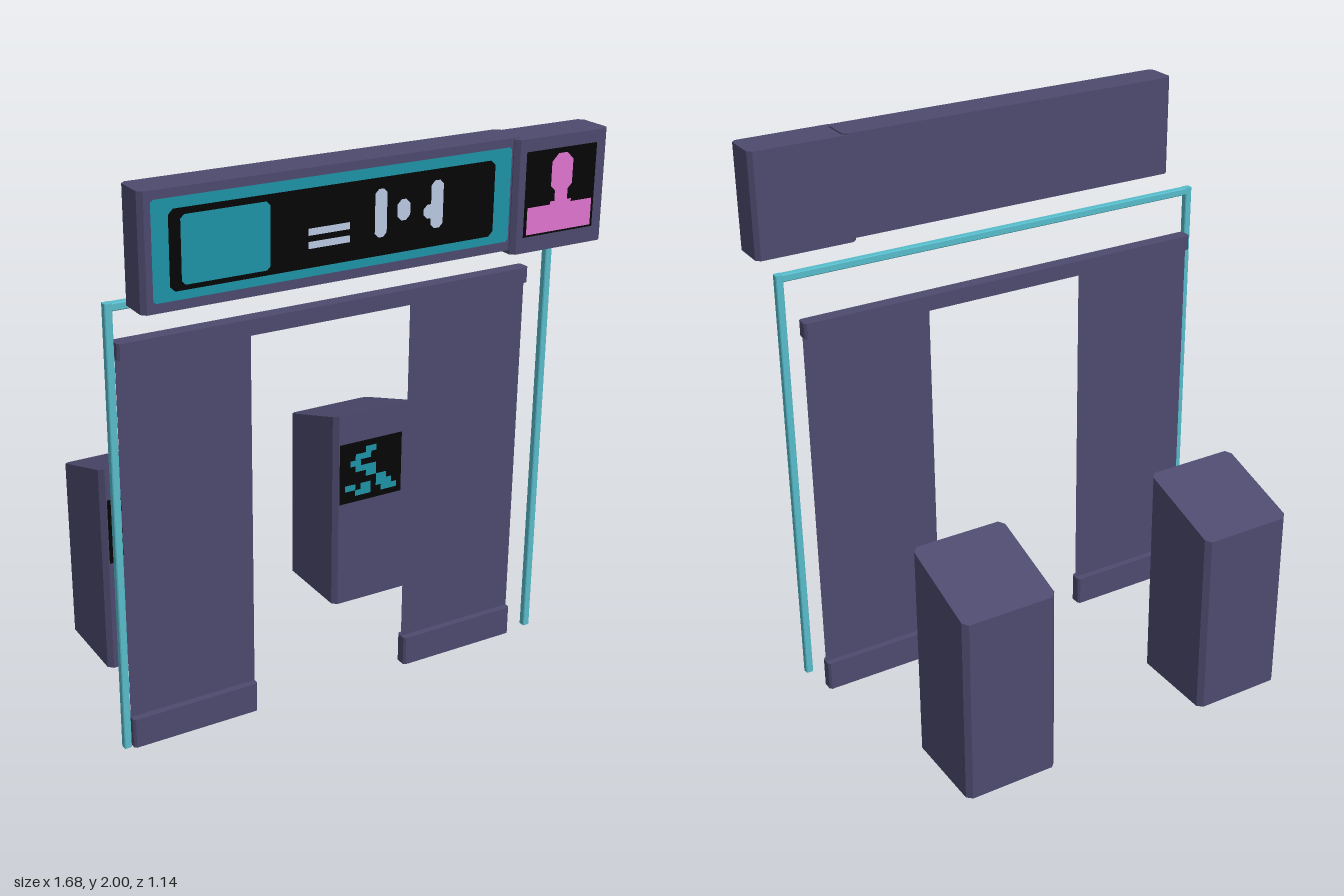
import * as THREE from 'three';

const mat = (name, color, side = THREE.FrontSide) => {
  const m = new THREE.MeshStandardMaterial({ color, side });
  m.name = name;
  return m;
};

export function createModel() {
  const model = new THREE.Group();
  model.name = 'shopEntrance';
  const purple = mat('dusk purple', 0x4d4a6e);
  const wall = mat('wall purple', 0x4d4a6e, THREE.DoubleSide);
  const teal = mat('teal', 0x1c93a6);
  const neon = mat('neon teal', 0x58bccb);
  const black = mat('black', 0x050505);
  const pale = mat('pale grey', 0xbac8e2);
  const pink = mat('pink', 0xe074cf);

  const add = (parent, name, geometry, material, x = 0, y = 0, z = 0) => {
    const mesh = new THREE.Mesh(geometry, material);
    mesh.name = name;
    mesh.position.set(x, y, z);
    parent.add(mesh);
    return mesh;
  };

  // Rectangle with its corners cut by c, centred on the origin
  const cutRect = (w, h, c) => {
    const a = w / 2, b = h / 2;
    return new THREE.Shape([
      [-a + c, -b], [a - c, -b], [a, -b + c], [a, b - c],
      [a - c, b], [-a + c, b], [-a, b - c], [-a, -b + c],
    ].map(([x, y]) => new THREE.Vector2(x, y)));
  };

  // Upright block with chamfered vertical edges, standing on y = 0
  const block = (w, h, d, c) =>
    new THREE.ExtrudeGeometry(cutRect(w, d, c), { depth: h, bevelEnabled: false }).rotateX(-Math.PI / 2);

  const blockBetween = (parent, name, material, x0, x1, y0, y1, z0, z1, c) =>
    add(parent, name, block(x1 - x0, y1 - y0, z1 - z0, c), material, (x0 + x1) / 2, y0, (z0 + z1) / 2);

  // Thin painted face given by its limits
  const plate = (parent, name, material, x0, x1, y0, y1, z, c = 0.001) =>
    add(parent, name, new THREE.ShapeGeometry(cutRect(x1 - x0, y1 - y0, c)), material,
      (x0 + x1) / 2, (y0 + y1) / 2, z);

  // Wall panels, skirting blocks and lintel
  const gate = new THREE.Group();
  gate.name = 'doorway';
  model.add(gate);
  for (const [side, x0, x1] of [['right', -0.782, -0.31], ['left', 0.297, 0.768]]) {
    add(gate, side + 'WallPanel', new THREE.PlaneGeometry(x1 - x0, 1.42), wall, (x0 + x1) / 2, 0.71, 0.25);
    blockBetween(gate, side + 'Skirting', purple, x0, x1, 0, 0.11, 0.225, 0.275, 0.008);
  }
  blockBetween(gate, 'lintel', purple, -0.782, 0.768, 1.4, 1.455, 0.225, 0.275, 0.008);

  // Neon tube frame
  const tube = new THREE.Group();
  tube.name = 'neonFrame';
  model.add(tube);
  blockBetween(tube, 'rightNeonPost', neon, -0.84, -0.814, 0.048, 1.609, 0.301, 0.327, 0.003);
  blockBetween(tube, 'leftNeonPost', neon, 0.798, 0.824, 0.048, 1.609, 0.301, 0.327, 0.003);
  const bar = add(tube, 'neonTopBar', block(0.026, 1.63, 0.026, 0.003), neon, 0.807, 1.596, 0.314);
  bar.rotation.z = Math.PI / 2;

  // Long sign with layered face
  const sign = new THREE.Group();
  sign.name = 'longSign';
  model.add(sign);
  blockBetween(sign, 'longSignBox', purple, -0.815, 0.503, 1.635, 2, 0.418, 0.545, 0.015);
  plate(sign, 'longSignBorder', teal, -0.78, 0.465, 1.666, 1.973, 0.547, 0.008);
  plate(sign, 'longSignScreen', black, -0.727, 0.402, 1.694, 1.94, 0.549, 0.016);
  plate(sign, 'longSignSquare', teal, -0.69, -0.4, 1.71, 1.92, 0.551, 0.012);
  for (const y of [1.754, 1.795])
    plate(sign, 'dash', pale, -0.272, -0.128, y, y + 0.022, 0.551);
  plate(sign, 'rightStroke', pale, -0.04, 0.003, 1.753, 1.905, 0.551, 0.013);
  plate(sign, 'dot', pale, 0.04, 0.087, 1.795, 1.862, 0.551, 0.015);
  plate(sign, 'leftStroke', pale, 0.163, 0.208, 1.753, 1.905, 0.551, 0.013);
  plate(sign, 'leftStrokeBump', pale, 0.135, 0.18, 1.787, 1.832, 0.5512, 0.014);

  // Small sign with a figure bust
  const portrait = new THREE.Group();
  portrait.name = 'portraitSign';
  model.add(portrait);
  blockBetween(portrait, 'portraitBox', purple, 0.472, 0.838, 1.622, 1.995, 0.418, 0.563, 0.015);
  plate(portrait, 'portraitScreen', black, 0.511, 0.789, 1.675, 1.954, 0.565);
  plate(portrait, 'shoulders', pink, 0.522, 0.779, 1.682, 1.772, 0.567);
  plate(portrait, 'collar', pink, 0.611, 0.695, 1.77, 1.782, 0.567);
  plate(portrait, 'neck', pink, 0.628, 0.679, 1.78, 1.83, 0.567);
  plate(portrait, 'head', pink, 0.611, 0.695, 1.808, 1.937, 0.5672, 0.025);

  // Two kiosks with sloping tops and pixel displays
  const pixels = [
    '............',
    '.....##.....',
    '...###......',
    '..##........',
    '...####.....',
    '.....##.....',
    '.......##...',
    '.##.##.###..',
    '...###..###.',
  ];
  for (const [side, x] of [['right', -0.4825], ['left', 0.469]]) {
    const kiosk = new THREE.Group();
    kiosk.name = side + 'Kiosk';
    kiosk.position.set(x, 0, -0.4025);
    model.add(kiosk);
    const body = block(0.345, 0.8, 0.345, 0.018);
    const p = body.attributes.position;
    for (let i = 0; i < p.count; i++)
      if (p.getY(i) > 0.4) p.setY(i, 0.745 + p.getZ(i) * 0.319);
    body.computeVertexNormals();
    add(kiosk, 'kioskBody', body, purple);
    plate(kiosk, 'kioskScreen', black, -0.152, 0.125, 0.43, 0.68, 0.1745);
    const pw = 0.277 / 12, ph = 0.025;
    pixels.forEach((row, r) => {
      // One plate for each run of lit pixels
      for (const run of row.matchAll(/#+/g)) {
        const x0 = -0.152 + run.index * pw;
        plate(kiosk, 'displayPixels', teal, x0, x0 + run[0].length * pw, 0.655 - r * ph, 0.68 - r * ph, 0.1765);
      }
    });
  }
  return model;
}
